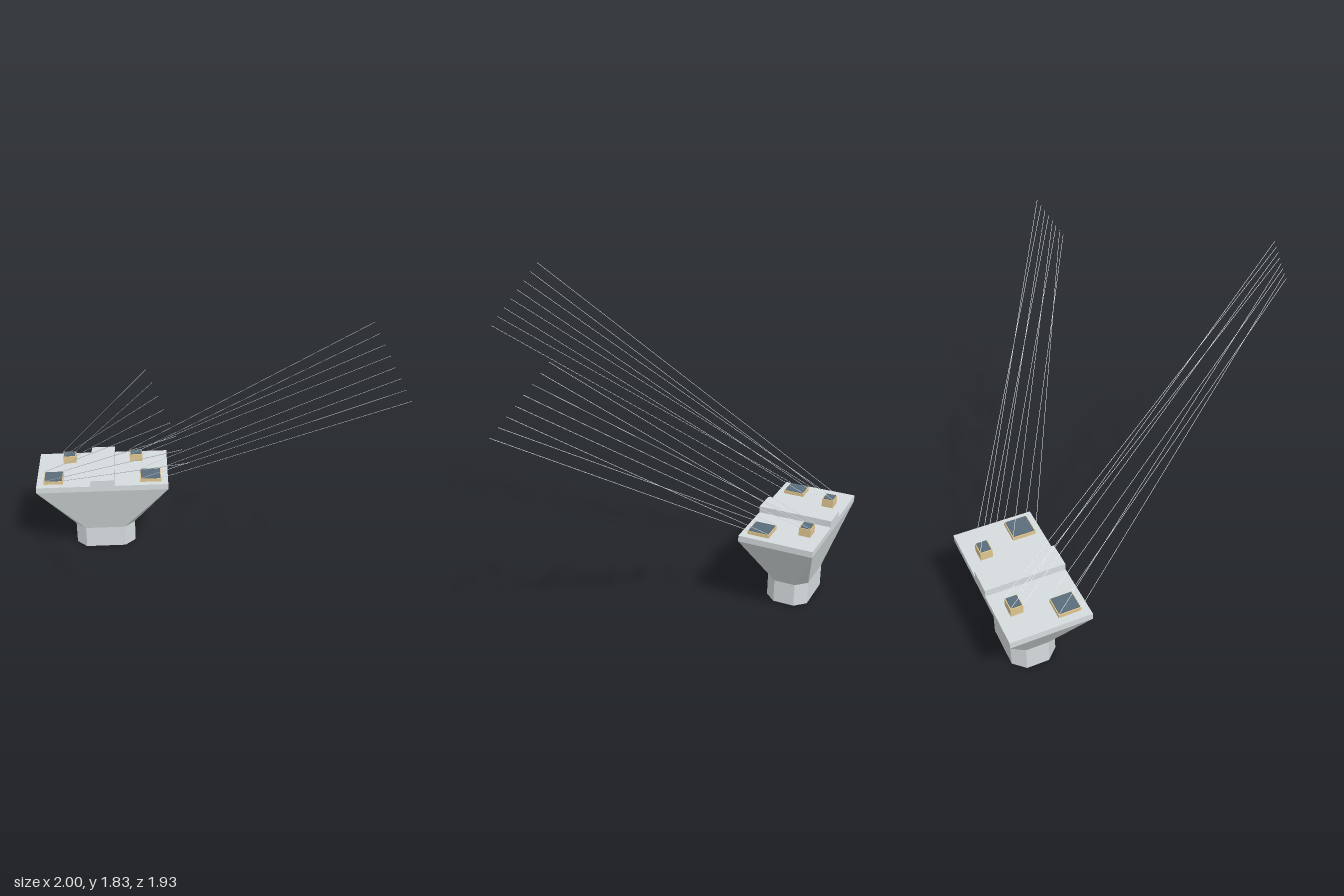
import * as THREE from 'three';

const concrete = new THREE.MeshStandardMaterial({ color: 0xd5dbdd, flatShading: true });
concrete.name = 'concrete';
const tan = new THREE.MeshStandardMaterial({ color: 0xe0c690, flatShading: true });
tan.name = 'tan plinth';
const slate = new THREE.MeshStandardMaterial({ color: 0x5a6d7b, flatShading: true });
slate.name = 'slate plate';
const silver = new THREE.MeshStandardMaterial({ color: 0xdde2e6, flatShading: true });
silver.name = 'silver wire';

// Pier centre and main levels
const CX = -0.6075, CZ = -0.756;
const STEM_TOP = 0.134, CAP_BOTTOM = 0.448, CAP_TOP = 0.483, RIDGE_TOP = 0.52;

function add(parent, name, geometry, material) {
  const mesh = new THREE.Mesh(geometry, material);
  mesh.name = name;
  parent.add(mesh);
  return mesh;
}

// Box given by its limits on each axis
function box(parent, name, material, [x0, x1], [y0, y1], [z0, z1]) {
  const mesh = add(parent, name, new THREE.BoxGeometry(x1 - x0, y1 - y0, z1 - z0), material);
  mesh.position.set((x0 + x1) / 2, (y0 + y1) / 2, (z0 + z1) / 2);
}

// Chamfered rectangle, counterclockwise from above
function ring(y, hx, hz, c) {
  return [
    [-hx + c, hz], [hx - c, hz], [hx, hz - c], [hx, -hz + c],
    [hx - c, -hz], [-hx + c, -hz], [-hx, -hz + c], [-hx, hz - c],
  ].map(([x, z]) => new THREE.Vector3(CX + x, y, CZ + z));
}

// Flat faces between two rings, with an optional floor
function loft(a, b, floor) {
  const pts = [];
  const tri = (p, q, r) => {
    if (!p.equals(q) && !q.equals(r) && !r.equals(p)) pts.push(p, q, r);
  };
  for (let i = 0; i < 8; i++) {
    const j = (i + 1) % 8;
    tri(a[i], a[j], b[j]);
    tri(a[i], b[j], b[i]);
    if (floor) tri(a[0], a[j], a[i]);
  }
  const g = new THREE.BufferGeometry().setFromPoints(pts);
  g.computeVertexNormals();
  return g;
}

// Hair-thin wire between two points
function wire(parent, from, to) {
  const dir = to.clone().sub(from);
  const mesh = add(parent, 'wire', new THREE.CylinderGeometry(0.0014, 0.0014, dir.length(), 4), silver);
  mesh.position.copy(from).add(to).multiplyScalar(0.5);
  mesh.quaternion.setFromUnitVectors(new THREE.Vector3(0, 1, 0), dir.normalize());
}

// Plinth with a thin plate on top; returns the plinth's corners, row by row
function bearing(parent, name, [x0, x1], [z0, z1], top) {
  const group = new THREE.Group();
  group.name = name;
  parent.add(group);
  const e = 0.005, t = 0.004;
  box(group, 'plinth', tan, [x0, x1], [CAP_TOP, top - t], [z0, z1]);
  box(group, 'plate', slate, [x0 + e, x1 - e], [top - t, top], [z0 + e, z1 - e]);
  return [[x0, z0], [x1, z0], [x0, z1], [x1, z1]].map(([x, z]) => new THREE.Vector3(x, top, z));
}

export function createModel() {
  const model = new THREE.Group();
  model.name = 'bridgePier';

  // Chamfered stem flaring out to a rectangular cap
  const stemTop = ring(STEM_TOP, 0.18, 0.12, 0.06);
  add(model, 'stem', loft(ring(0, 0.18, 0.12, 0.06), stemTop, true), concrete);
  add(model, 'flare', loft(stemTop, ring(CAP_BOTTOM, 0.3925, 0.21, 0), false), concrete);
  box(model, 'cap', concrete, [-1, -0.215], [CAP_BOTTOM, CAP_TOP], [-0.966, -0.546]);
  box(model, 'ridge', concrete, [-0.68, -0.537], [CAP_TOP, RIDGE_TOP], [-0.966, -0.546]);

  // Two bearings per side: a small tall one behind, a wide low one in front
  const sides = [
    { name: 'right', back: [-0.852, -0.774], front: [-0.957, -0.843], frontZ: [-0.702, -0.585],
      start: new THREE.Vector3(-0.325, 1.825, 0.75), end: new THREE.Vector3(-0.16, 1.48, 0.966) },
    { name: 'left', back: [-0.444, -0.366], front: [-0.383, -0.256], frontZ: [-0.705, -0.582],
      start: new THREE.Vector3(0.83, 1.70, -0.02), end: new THREE.Vector3(1, 1.36, 0.2) },
  ];
  for (const s of sides) {
    const corners = [
      ...bearing(model, s.name + 'BackBearing', s.back, [-0.902, -0.837], 0.534),
      ...bearing(model, s.name + 'FrontBearing', s.front, s.frontZ, 0.506),
    ];
    // One wire from each corner to an evenly spaced row of ends
    const wires = new THREE.Group();
    wires.name = s.name + 'Wires';
    model.add(wires);
    corners.forEach((c, i) => wire(wires, c, s.start.clone().lerp(s.end, i / 7)));
  }
  return model;
}
